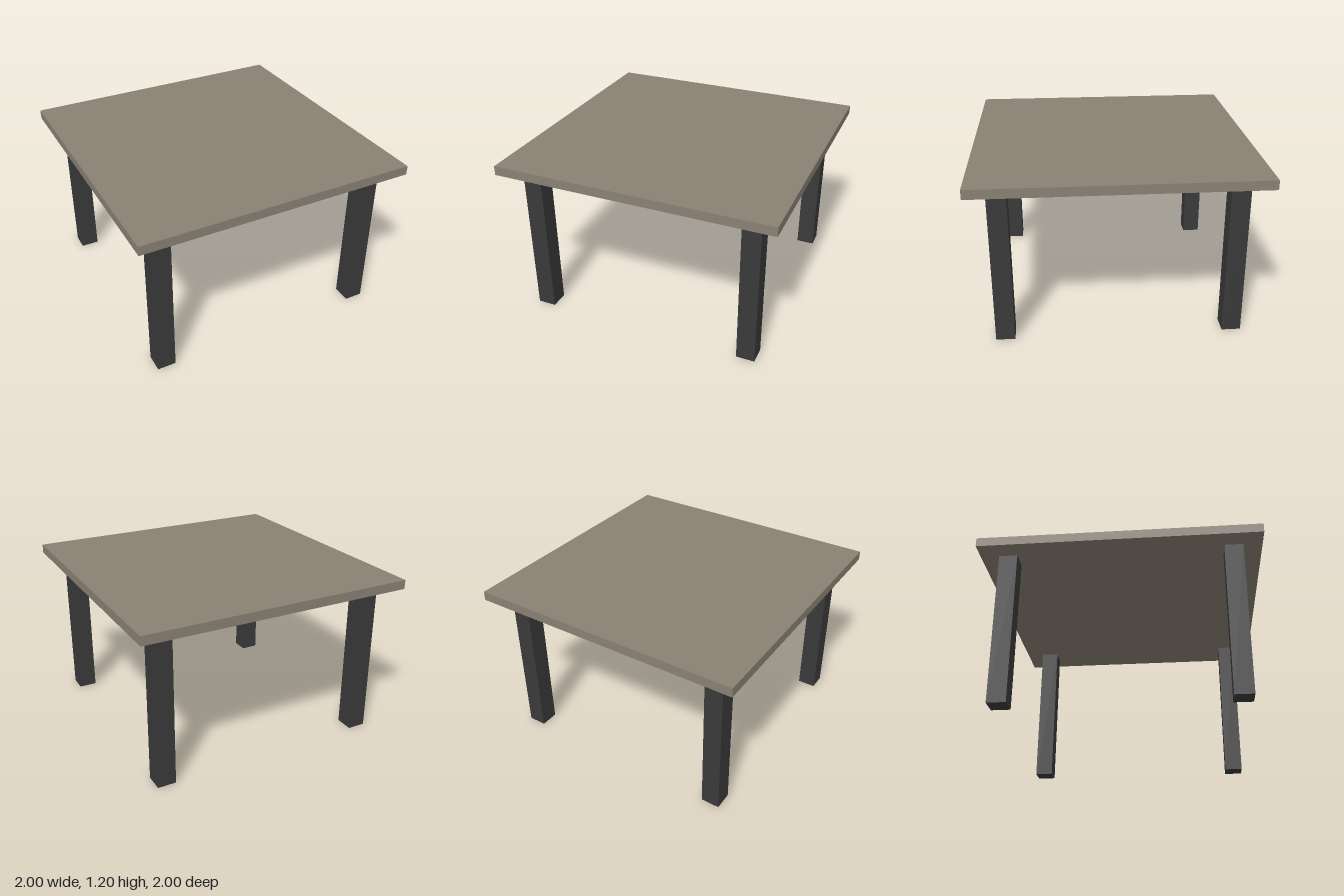
import * as THREE from 'three';

const HEIGHT = 1.2;
const TOP_THICKNESS = 0.0667;
const LEG_WIDTH = 0.1333;
const LEG_OFFSET = 0.8;

export function createModel() {
  const table = new THREE.Group();
  table.name = 'table';

  const topMaterial = new THREE.MeshStandardMaterial({ color: 0x8a8174 });
  topMaterial.name = 'warm grey top';
  const legMaterial = new THREE.MeshStandardMaterial({ color: 0x3a3a3a });
  legMaterial.name = 'charcoal legs';

  // Square slab
  const top = new THREE.Mesh(new THREE.BoxGeometry(2, TOP_THICKNESS, 2), topMaterial);
  top.name = 'tabletop';
  top.position.y = HEIGHT - TOP_THICKNESS / 2;
  table.add(top);

  // Four square legs, set in from the corners
  const legHeight = HEIGHT - TOP_THICKNESS;
  const legGeometry = new THREE.BoxGeometry(LEG_WIDTH, legHeight, LEG_WIDTH);
  for (const [side, sx] of [['Left', 1], ['Right', -1]]) {
    for (const [end, sz] of [['front', 1], ['back', -1]]) {
      const leg = new THREE.Mesh(legGeometry, legMaterial);
      leg.name = `${end}${side}Leg`;
      leg.position.set(sx * LEG_OFFSET, legHeight / 2, sz * LEG_OFFSET);
      table.add(leg);
    }
  }

  return table;
}
